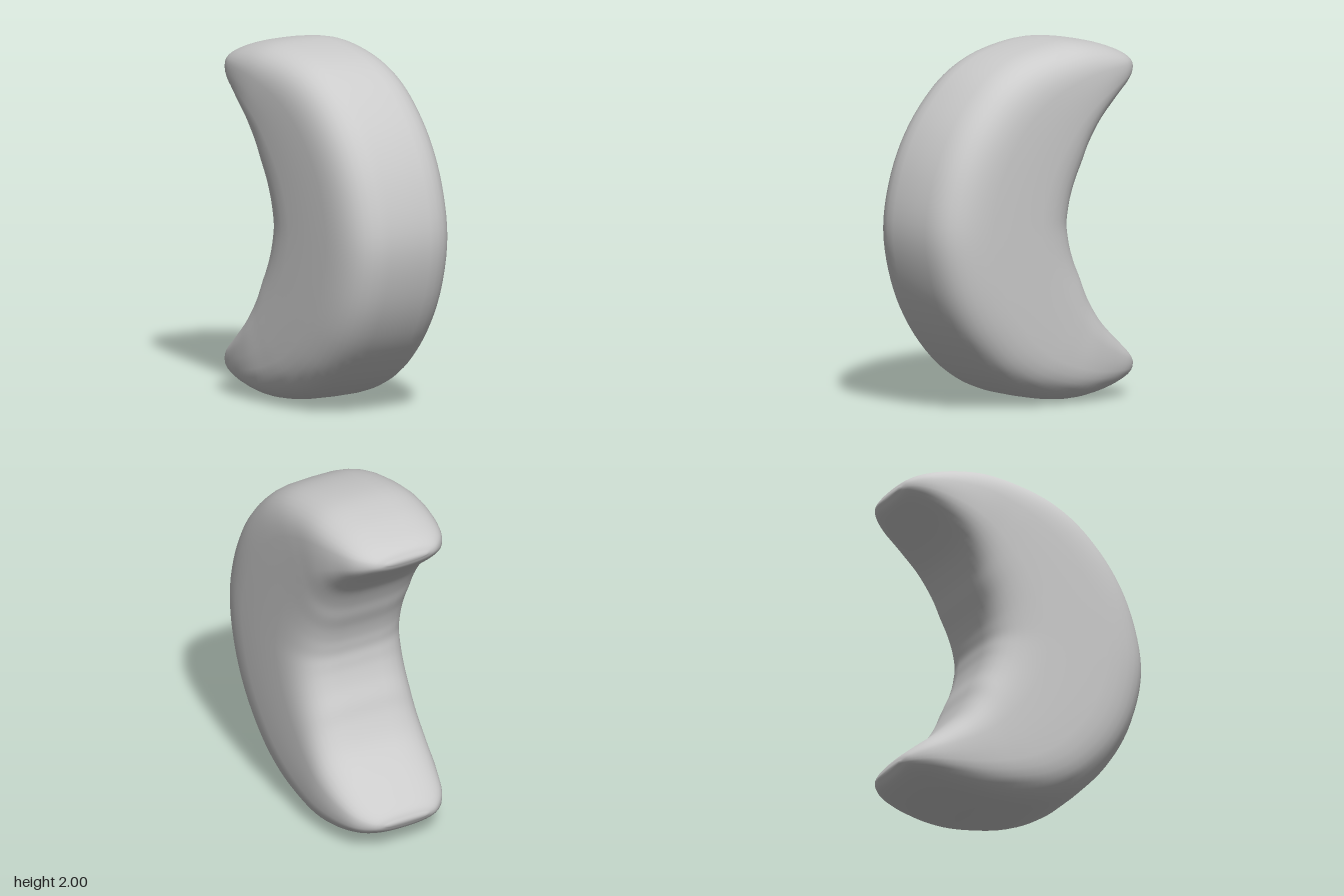
import * as THREE from 'three';

// Stations from the upper tip to mid-height: outer x, y, inner x, y, half thickness
const STATIONS = [
  [-0.743, 1.845, -0.745, 1.82, 0.12],
  [-0.71, 1.89, -0.72, 1.775, 0.21],
  [-0.62, 1.935, -0.64, 1.705, 0.29],
  [-0.46, 1.98, -0.52, 1.605, 0.337],
  [-0.25, 2.0, -0.42, 1.5, 0.36],
  [0.0, 1.965, -0.35, 1.38, 0.363],
  [0.2, 1.895, -0.31, 1.28, 0.363],
  [0.38, 1.77, -0.27, 1.19, 0.363],
  [0.56, 1.56, -0.245, 1.11, 0.363],
  [0.685, 1.3, -0.235, 1.05, 0.363],
  [0.74, 1.0, -0.23, 1.0, 0.363],
];

// Rounded-box cross-section swept between the outer and inner edge curves
function crescentGeometry(rows = 96, sides = 40) {
  const mirrored = STATIONS.slice(0, -1).reverse()
    .map(([ox, oy, ix, iy, h]) => [ox, 2 - oy, ix, 2 - iy, h]);
  const all = [...STATIONS, ...mirrored];
  const curve = (pick) => new THREE.CatmullRomCurve3(all.map(pick), false, 'catmullrom', 0.5);
  // z of the outer curve carries the half thickness
  const outer = curve((s) => new THREE.Vector3(s[0], s[1], s[4]));
  const inner = curve((s) => new THREE.Vector3(s[2], s[3], 0));

  const position = [];
  const index = [];
  for (let i = 0; i <= rows; i++) {
    const o = outer.getPoint(i / rows);
    const n = inner.getPoint(i / rows);
    const width = Math.hypot(o.x - n.x, o.y - n.y);
    // Narrow sections are rounder, wide ones boxier
    const power = 2 / THREE.MathUtils.clamp(2.2 + width * 1.6, 2.3, 3.7);
    for (let j = 0; j < sides; j++) {
      const a = (j / sides) * Math.PI * 2;
      const bulge = (v) => Math.sign(v) * Math.pow(Math.abs(v), power);
      const k = 0.5 + 0.5 * bulge(Math.cos(a));
      position.push(n.x + (o.x - n.x) * k, n.y + (o.y - n.y) * k, o.z * bulge(Math.sin(a)));
      if (i < rows) {
        const p = i * sides + j;
        const q = i * sides + (j + 1) % sides;
        index.push(p, q, p + sides, q, q + sides, p + sides);
      }
    }
  }

  // Small caps closing both tips
  for (const row of [0, rows]) {
    const s = row ? all[all.length - 1] : all[0];
    const centre = position.length / 3;
    position.push((s[0] + s[2]) / 2 - 0.002, (s[1] + s[3]) / 2, 0);
    for (let j = 0; j < sides; j++) {
      const p = row * sides + j;
      const q = row * sides + (j + 1) % sides;
      if (row) index.push(centre, p, q);
      else index.push(centre, q, p);
    }
  }

  const geometry = new THREE.BufferGeometry();
  geometry.setAttribute('position', new THREE.Float32BufferAttribute(position, 3));
  geometry.setIndex(index);
  geometry.computeVertexNormals();
  return geometry;
}

export function createModel() {
  const group = new THREE.Group();
  group.name = 'crescentMoon';
  const body = new THREE.Mesh(
    crescentGeometry(),
    new THREE.MeshStandardMaterial({ color: 0xcccccc }),
  );
  body.name = 'crescentBody';
  group.add(body);
  return group;
}
